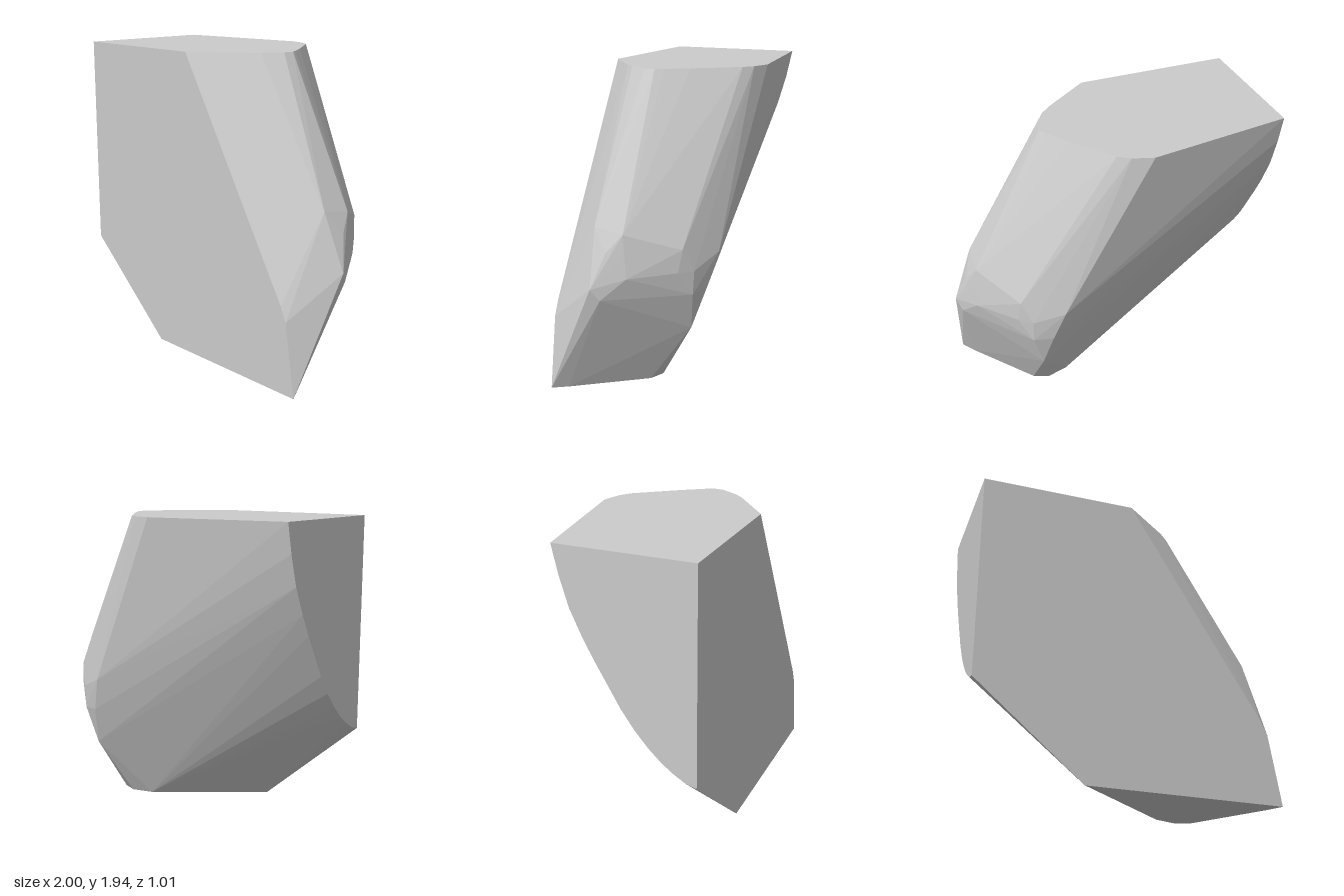
import * as THREE from 'three';
import { ConvexGeometry } from 'three/addons/geometries/ConvexGeometry.js';

// Cut outlines: each flat face is a list of 2D corners lifted into its plane
const TOP = 1.94, FRONT = 0.5, LEFT_END = -1;

const topOutline = [ // x, z
  [-1, -0.375], [-0.1, -0.51], [0.03, -0.47], [0.1, -0.42], [0.3, -0.16],
  [0.39, -0.03], [0.42, 0.02], [0.415, 0.09], [0.34, 0.21], [0.28, 0.27], [-0.02, 0.5],
];
const bottomOutline = [ // x, z
  [-0.32, 0.5], [0.93, 0.5], [0.87, 0.41], [0.55, 0], [0.45, -0.04], [0.31, 0],
];
const frontOutline = [ // x, y
  [-1, 0.58], [-1, 1.94], [0.82, 0.54], [0.86, 0.45],
];
const endCurve = [ // z, y of the curved edge on the flat end
  [-0.335, 1.76], [-0.278, 1.57], [-0.2, 1.4], [-0.13, 1.27], [0.026, 1.0],
  [0.11, 0.88], [0.196, 0.78], [0.28, 0.7], [0.354, 0.645], [0.43, 0.6],
];

// Facet corners around the widest part of the rounded side
const shoulder = [
  [0.87, 1.06, 0.2], [0.88, 1.03, 0.01], [0.93, 0.92, 0.1], [0.89, 0.92, 0],
  [1, 0.71, 0.17], [0.9, 0.77, -0.02], [0.97, 0.64, 0.12], [0.86, 0.64, 0],
  [0.68, 0.92, -0.28], [0.7, 0.78, -0.26], [0.62, 0.78, -0.33], [0.62, 0.63, -0.32],
  [0.43, 0.86, -0.41], [0.5, 0.64, -0.36], [0.55, 0.39, -0.28],
  [0.6, 0.48, -0.24], [0.64, 0.38, -0.13],
];

export function createModel() {
  const points = [
    ...topOutline.map(([x, z]) => [x, TOP, z]),
    ...bottomOutline.map(([x, z]) => [x, 0, z]),
    ...frontOutline.map(([x, y]) => [x, y, FRONT]),
    ...endCurve.map(([z, y]) => [LEFT_END, y, z]),
    ...shoulder,
  ].map((p) => new THREE.Vector3(...p));

  // Faceted convex block
  const block = new THREE.Mesh(
    new ConvexGeometry(points),
    new THREE.MeshStandardMaterial({ color: 0xcccccc, flatShading: true }),
  );
  block.name = 'facetedBlock';

  const model = new THREE.Group();
  model.name = 'cutBlock';
  model.add(block);
  return model;
}
